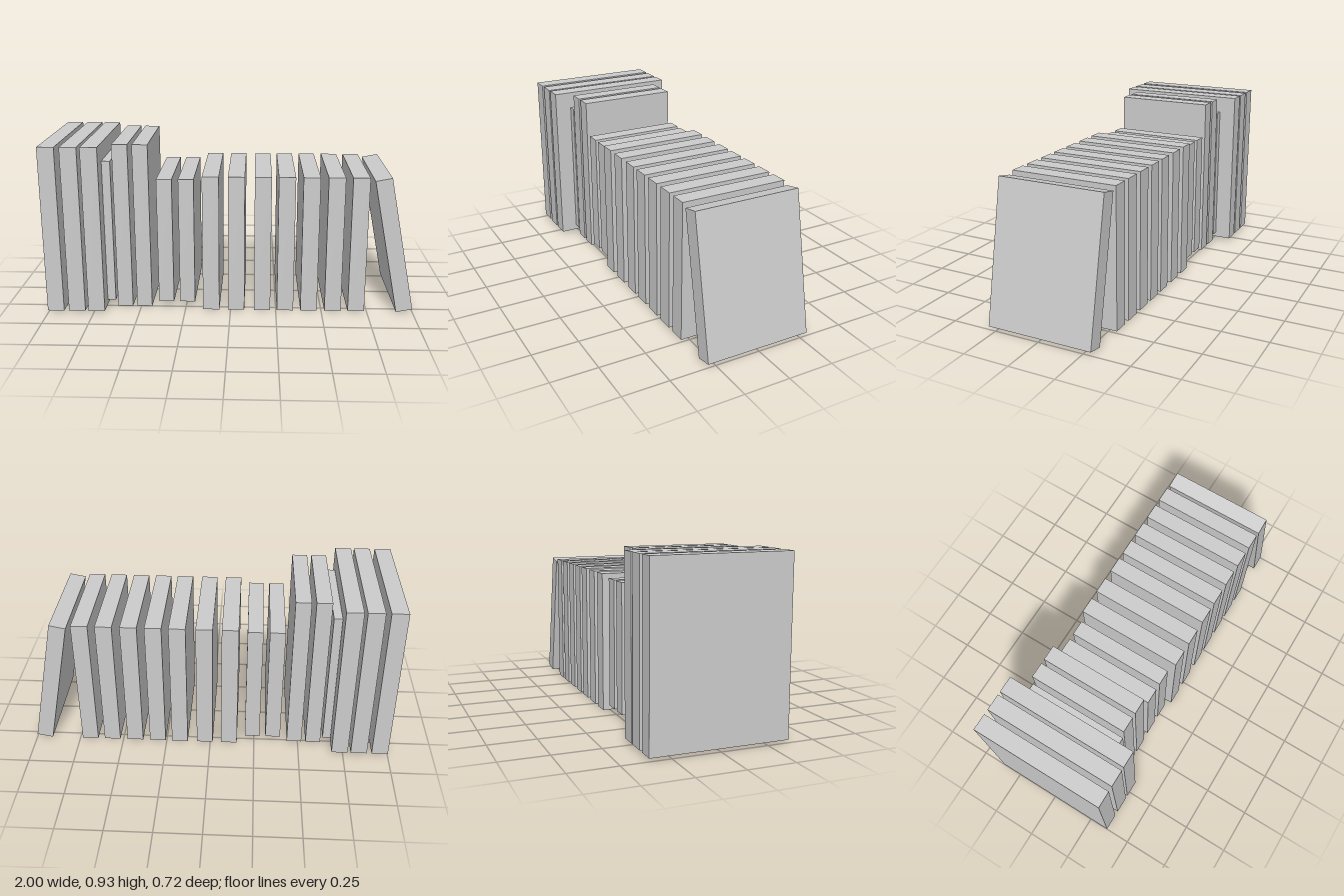
import * as THREE from 'three';

const material = new THREE.MeshStandardMaterial({ color: 0xcccccc, flatShading: true, side: THREE.DoubleSide });

// Box shell that is open underneath
function shell(width, height, depth) {
  const geometry = new THREE.BoxGeometry(width, height, depth);
  const index = Array.from(geometry.index.array);
  index.splice(18, 6); // drop the bottom face
  geometry.setIndex(index);
  geometry.clearGroups();
  return geometry;
}

export function createModel() {
  const row = new THREE.Group();
  row.name = 'bookRow';

  function addBook(name, x, y, width, height, depth, tilt = 0) {
    const book = new THREE.Mesh(shell(width, height, depth), material);
    book.name = name;
    book.position.set(x, y, 0);
    book.rotation.z = tilt;
    row.add(book);
  }

  // Upright books, by size: bottom, top, thickness, depth and centres along the shelf
  const sets = [
    { name: 'largeBook', y0: 0.016, y1: 0.928, w: 0.09, d: 0.724, xs: [-0.955, -0.838, -0.731] },
    { name: 'thinBook', y0: 0.045, y1: 0.835, w: 0.045, d: 0.54, xs: [-0.662] },
    { name: 'tallBook', y0: 0.01, y1: 0.925, w: 0.083, d: 0.54, xs: [-0.586, -0.479] },
    { name: 'shortBook', y0: 0.04, y1: 0.738, w: 0.083, d: 0.54, xs: [-0.356, -0.239] },
    { name: 'mediumBook', y0: 0.003, y1: 0.759, w: 0.09, d: 0.582,
      xs: [-0.107, 0.031, 0.174, 0.301, 0.431, 0.563, 0.691] },
  ];
  for (const { name, y0, y1, w, d, xs } of sets) {
    xs.forEach((x, i) => addBook(name + (i + 1), x, (y0 + y1) / 2, w, y1 - y0, d));
  }

  // Last book, leaning against the row
  addBook('leaningBook', 0.881, 0.38, 0.09, 0.756, 0.582, 0.198);

  return row;
}
